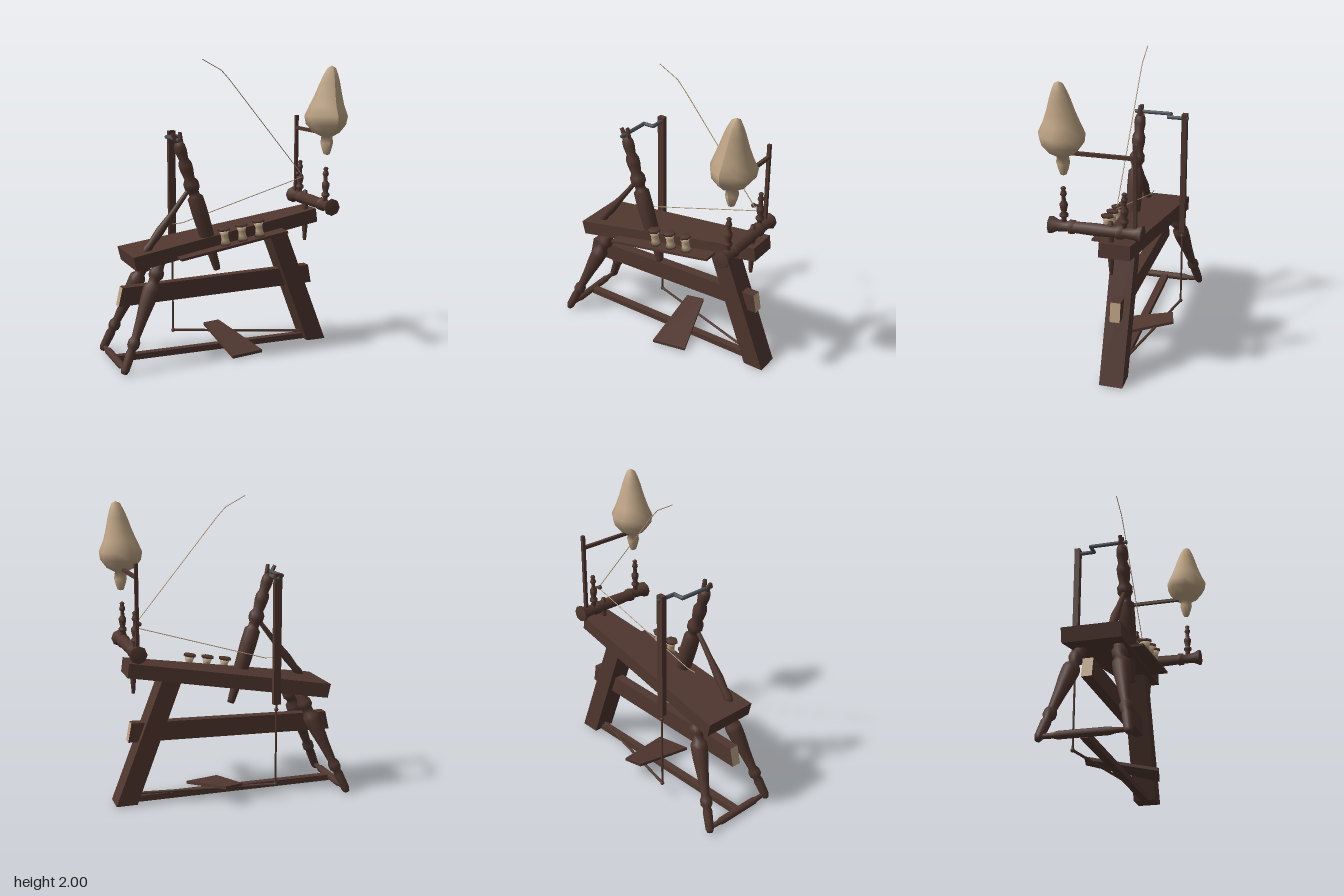
import * as THREE from 'three';

const mat = (name, color) => {
  const m = new THREE.MeshStandardMaterial({ color });
  m.name = name;
  return m;
};

export function createModel() {
  const root = new THREE.Group();
  root.name = 'spinningWheelFrame';
  const wood = mat('dark wood', 0x50372f);
  const tan = mat('wool tan', 0xbca283);
  const metal = mat('grey metal', 0x4c5156);
  const V = (p) => new THREE.Vector3(...p);
  const UP = new THREE.Vector3(0, 1, 0);

  function add(name, geo, material = wood) {
    const m = new THREE.Mesh(geo, material);
    m.name = name;
    root.add(m);
    return m;
  }

  // Stands a y-axis mesh between two points
  function span(mesh, a, b) {
    mesh.position.copy(V(a));
    mesh.quaternion.setFromUnitVectors(UP, V(b).sub(V(a)).normalize());
    return mesh;
  }

  // Turned part: profile is [fraction of length, radius]
  function turned(name, a, b, profile, material = wood, sides = 12) {
    const len = V(a).distanceTo(V(b));
    const pts = [[profile[0][0], 0], ...profile, [profile.at(-1)[0], 0]];
    const geo = new THREE.LatheGeometry(pts.map(([t, r]) => new THREE.Vector2(r, t * len)), sides);
    return span(add(name, geo, material), a, b);
  }

  const rod = (name, a, b, r, material = wood, sides = 8, r2 = r) =>
    turned(name, a, b, [[0, r], [1, r2]], material, sides);

  function ball(name, p, r, material = wood) {
    add(name, new THREE.SphereGeometry(r, 10, 8), material).position.copy(V(p));
  }

  function box(name, size, pos) {
    const m = add(name, new THREE.BoxGeometry(...size));
    m.position.set(...pos);
    return m;
  }

  // Six-sided block whose corners come from a rule on the signs of x, y, z
  function block(name, rule, material = wood) {
    const geo = new THREE.BoxGeometry(2, 2, 2);
    const p = geo.attributes.position;
    for (let i = 0; i < p.count; i++) p.setXYZ(i, ...rule(p.getX(i), p.getY(i), p.getZ(i)));
    geo.computeVertexNormals();
    return add(name, geo, material);
  }

  // Front-view quad [left bottom, right bottom, right top, left top] with depth
  function plank(name, [lb, rb, rt, lt], depth, material) {
    return block(name, (sx, sy, sz) => {
      const c = sx < 0 ? (sy < 0 ? lb : lt) : (sy < 0 ? rb : rt);
      return [c[0], c[1], depth(sx, sz)];
    }, material);
  }

  // Sloping tapered table
  plank('table', [[-0.645, 0.657], [0.695, 0.873], [0.683, 0.966], [-0.667, 0.75]],
    (sx, sz) => -0.086 + sz * (sx < 0 ? 0.188 : 0.1));
  // Wide front leg
  plank('frontLeg', [[0.64, 0.01], [0.78, 0.01], [0.448, 0.87], [0.315, 0.87]],
    (sx, sz) => -0.083 + sz * 0.077);
  // Middle stretcher with pale end grain
  plank('middleStretcher', [[-0.728, 0.39], [0.685, 0.425], [0.662, 0.552], [-0.7, 0.515]],
    (sx, sz) => -0.085 + sz * 0.033, [tan, tan, wood, wood, wood, wood]);
  // Floor stretcher
  box('floorStretcher', [1.4, 0.04, 0.05], [-0.04, 0.03, -0.085]);

  // Turned rear legs and their rail
  const legProfile = [[0, 0.018], [0.03, 0.028], [0.17, 0.032], [0.2, 0.026], [0.23, 0.04], [0.27, 0.04],
    [0.3, 0.028], [0.45, 0.038], [0.6, 0.052], [0.68, 0.056], [0.72, 0.055], [0.75, 0.036], [0.79, 0.036],
    [0.81, 0.05], [0.85, 0.05], [0.88, 0.036], [1, 0.034]];
  for (const s of [-1, 1]) {
    turned('rearLeg', [-0.768, 0.01, -0.085 + s * 0.268], [-0.445, 0.74, -0.085 + s * 0.11], legProfile);
  }
  turned('rearLegRail', [-0.755, 0.035, -0.34], [-0.755, 0.035, 0.17],
    [[0, 0.014], [0.15, 0.018], [0.2, 0.025], [0.8, 0.025], [0.85, 0.018], [1, 0.014]]);

  // Wheel post with forked top and slanting brace
  turned('wheelPost', [-0.055, 0.6, 0.01], [-0.325, 1.47, 0.01],
    [[0, 0.022], [0.02, 0.026], [0.16, 0.034], [0.24, 0.037], [0.26, 0.05], [0.45, 0.056], [0.57, 0.054],
      [0.59, 0.036], [0.62, 0.036], [0.65, 0.052], [0.69, 0.052], [0.72, 0.035], [0.79, 0.045], [0.83, 0.046],
      [0.87, 0.032], [0.93, 0.04], [0.97, 0.038], [1, 0.026]]);
  rod('forkProng', [-0.325, 1.45, 0.01], [-0.365, 1.525, 0.01], 0.018, wood, 8, 0.013);
  rod('forkProng', [-0.305, 1.45, 0.01], [-0.315, 1.535, 0.01], 0.018, wood, 8, 0.013);
  turned('postBrace', [-0.57, 0.745, 0.01], [-0.25, 1.16, 0.01],
    [[0, 0.02], [0.08, 0.03], [0.16, 0.024], [0.35, 0.03], [0.6, 0.02], [1, 0.014]]);

  // Bent metal crank
  const crank = [[-0.335, 1.485, 0.05], [-0.335, 1.485, -0.2], [-0.26, 1.485, -0.2], [-0.26, 1.485, -0.335]];
  for (let i = 0; i < 3; i++) {
    rod('crank', crank[i], crank[i + 1], 0.013, metal);
    if (i) ball('crankBend', crank[i], 0.013, metal);
  }

  // Connecting bar, rod and treadle
  box('connectingBar', [0.048, 0.86, 0.036], [-0.264, 1.085, -0.31]);
  rod('connectingRod', [-0.264, 0.1, -0.31], [-0.264, 0.655, -0.31], 0.007);
  ball('rodJoint', [-0.264, 0.62, -0.31], 0.014);
  ball('rodJoint', [-0.264, 0.105, -0.31], 0.014);
  rod('treadleBar', [-0.264, 0.105, -0.31], [0.66, 0.06, -0.075], 0.009);
  block('treadle', (sx, sy, sz) => [
    sz < 0 ? (sx < 0 ? -0.035 : 0.09) : (sx < 0 ? -0.005 : 0.232),
    (sz < 0 ? 0.125 : 0.022) + sy * 0.01,
    sz < 0 ? (sx < 0 ? -0.305 : -0.335) : (sx < 0 ? 0.17 : 0.12),
  ]);

  // Bobbin rack below the table edge
  plank('bobbinRack', [[-0.36, 0.712], [0.41, 0.836], [0.407, 0.852], [-0.363, 0.728]],
    (sx, sz) => (sx < 0 ? 0.1 : 0.08) + sz * 0.063);
  for (let i = 0; i < 3; i++) {
    const x = -0.027 + i * 0.124, y = 0.78 + i * 0.02;
    const a = [x, y, 0.097], b = [x - 0.016, y + 0.118, 0.097];
    turned('bobbinFlange', a, b, [[0, 0.034], [0.12, 0.034]], wood, 6);
    turned('bobbinYarn', a, b, [[0.12, 0.034], [0.35, 0.026], [0.6, 0.026], [0.86, 0.036]], tan, 8);
    turned('bobbinFlange', a, b, [[0.86, 0.042], [1, 0.042]], wood, 6);
  }

  // Turned cross bar with flared ends
  turned('crossBar', [0.635, 1.03, -0.254], [0.635, 1.03, 0.342],
    [[0, 0.056], [0.02, 0.058], [0.08, 0.04], [0.2, 0.035], [0.21, 0.046], [0.27, 0.046], [0.28, 0.038],
      [0.5, 0.042], [0.72, 0.038], [0.73, 0.046], [0.78, 0.046], [0.79, 0.034], [0.92, 0.04], [0.98, 0.058],
      [1, 0.054]], wood, 8);
  turned('tensionPin', [0.63, 0.735, -0.05], [0.63, 1.09, -0.05],
    [[0, 0.011], [0.3, 0.02], [0.9, 0.02], [1, 0.014]]);

  // Pair of uprights holding the flyer
  const maiden = [[0, 0.016], [0.18, 0.016], [0.22, 0.027], [0.28, 0.027], [0.33, 0.016], [0.48, 0.025],
    [0.56, 0.025], [0.62, 0.014], [0.75, 0.013], [0.8, 0.021], [0.86, 0.018], [0.9, 0.012], [0.96, 0.017], [1, 0.008]];
  for (const z of [0.248, -0.135]) turned('flyerUpright', [0.63, 1.04, z], [0.63, 1.29, z], maiden);
  rod('flyerPin', [0.635, 1.2, -0.135], [0.595, 1.2, -0.105], 0.008);
  ball('flyerKnob', [0.596, 1.2, -0.105], 0.016);

  // Distaff with wool
  box('distaffPole', [0.022, 0.58, 0.022], [0.632, 1.31, -0.203]);
  box('distaffArm', [0.022, 0.022, 0.46], [0.632, 1.513, 0.015]);
  const wool = new THREE.LatheGeometry([[0, 1.368], [0.02, 1.375], [0.032, 1.41], [0.042, 1.45], [0.036, 1.492],
    [0.09, 1.52], [0.135, 1.575], [0.145, 1.63], [0.115, 1.7], [0.09, 1.77], [0.066, 1.85], [0.048, 1.9],
    [0.028, 1.942], [0, 1.957]].map(([r, y]) => new THREE.Vector2(r, y)), 9);
  const wp = wool.attributes.position;
  for (let i = 0; i < wp.count; i++) {
    const y = wp.getY(i), a = Math.atan2(wp.getZ(i), wp.getX(i));
    const k = 1 + 0.06 * Math.sin(3 * a + y * 6);
    const lean = Math.max(0, y - 1.7) * 0.08;
    wp.setXYZ(i, wp.getX(i) * k + lean, y, wp.getZ(i) * k + lean * 0.5);
  }
  wool.computeVertexNormals();
  add('wool', wool, tan).position.set(0.638, 0, 0.242);

  // Spun threads
  const threads = [
    [[-0.12, 1.998], [0.015, 1.925], [0.075, 1.86], [0.62, 1.195]],
    [[-0.335, 0.913], [-0.265, 0.917], [0.625, 1.178]],
  ];
  for (const pts of threads) {
    for (let i = 1; i < pts.length; i++) {
      rod('thread', [...pts[i - 1], -0.087], [...pts[i], -0.087], 0.003, tan, 5);
    }
  }
  return root;
}
